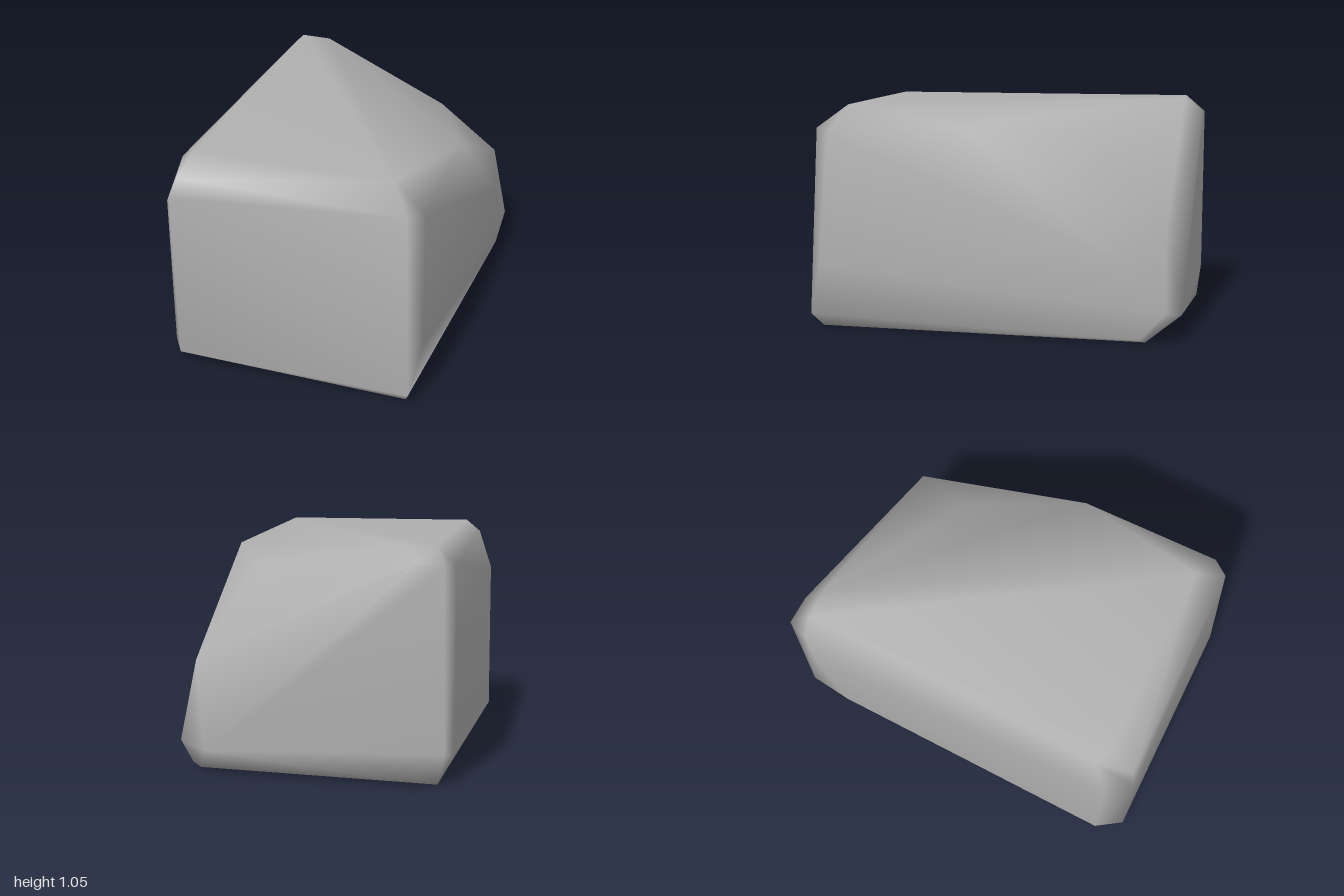
import * as THREE from 'three';
import { ConvexGeometry } from 'three/addons/geometries/ConvexGeometry.js';
import { mergeVertices } from 'three/addons/utils/BufferGeometryUtils.js';

// Corner points of the chipped block, a few per corner so every edge is bevelled
const corners = {
  frontLeft: [
    [-0.26, 0.06, 1.0], [-0.27, 0.88, 1.0], [-0.25, 0.97, 0.965],
    [-0.37, 0.05, 0.91], [-0.37, 0.8, 0.91], [-0.34, 1.0, 0.82],
    [-0.26, 1.055, 0.83], [-0.31, 0, 0.86],
  ],
  frontRight: [
    [0.81, 0.06, 0.655], [0.77, 0.95, 0.63], [0.835, 0.3, 0.58],
    [0.805, 0.94, 0.54], [0.64, 1.055, 0.54], [0.77, 0, 0.61],
  ],
  backLeft: [
    [-0.79, 0.1, -0.48], [-0.835, 0.65, -0.56], [-0.835, 0.97, -0.57],
    [-0.835, 0.15, -0.67], [-0.83, 0.97, -0.675], [-0.68, 0.02, -0.71],
    [-0.7, 0.98, -0.71], [-0.76, 1.055, -0.6], [-0.62, 1.05, -0.65],
    [-0.78, 0, -0.62],
  ],
  // The top of this corner is broken off by a bulging slope
  backRight: [
    [0.2, 0.12, -1.0], [0.34, 0.15, -0.98], [0.27, 0.52, -0.95],
    [0.42, 0.42, -0.72], [0.19, 0.92, -0.53], [0.58, 0.97, -0.1],
    [0.31, 0, -0.87], [0.36, 0.02, -0.86],
  ],
};

export function createModel() {
  const stone = new THREE.MeshStandardMaterial({ color: 0xb0b0b0 });
  stone.name = 'stone grey';

  // Convex hull with shared vertices gives soft, blended edges
  const points = Object.values(corners).flat().map((p) => new THREE.Vector3(...p));
  let geometry = new ConvexGeometry(points);
  geometry.deleteAttribute('normal');
  geometry = mergeVertices(geometry, 1e-4);
  geometry.computeVertexNormals();

  const rock = new THREE.Mesh(geometry, stone);
  rock.name = 'rock';

  const group = new THREE.Group();
  group.name = 'boulder';
  group.add(rock);
  return group;
}
